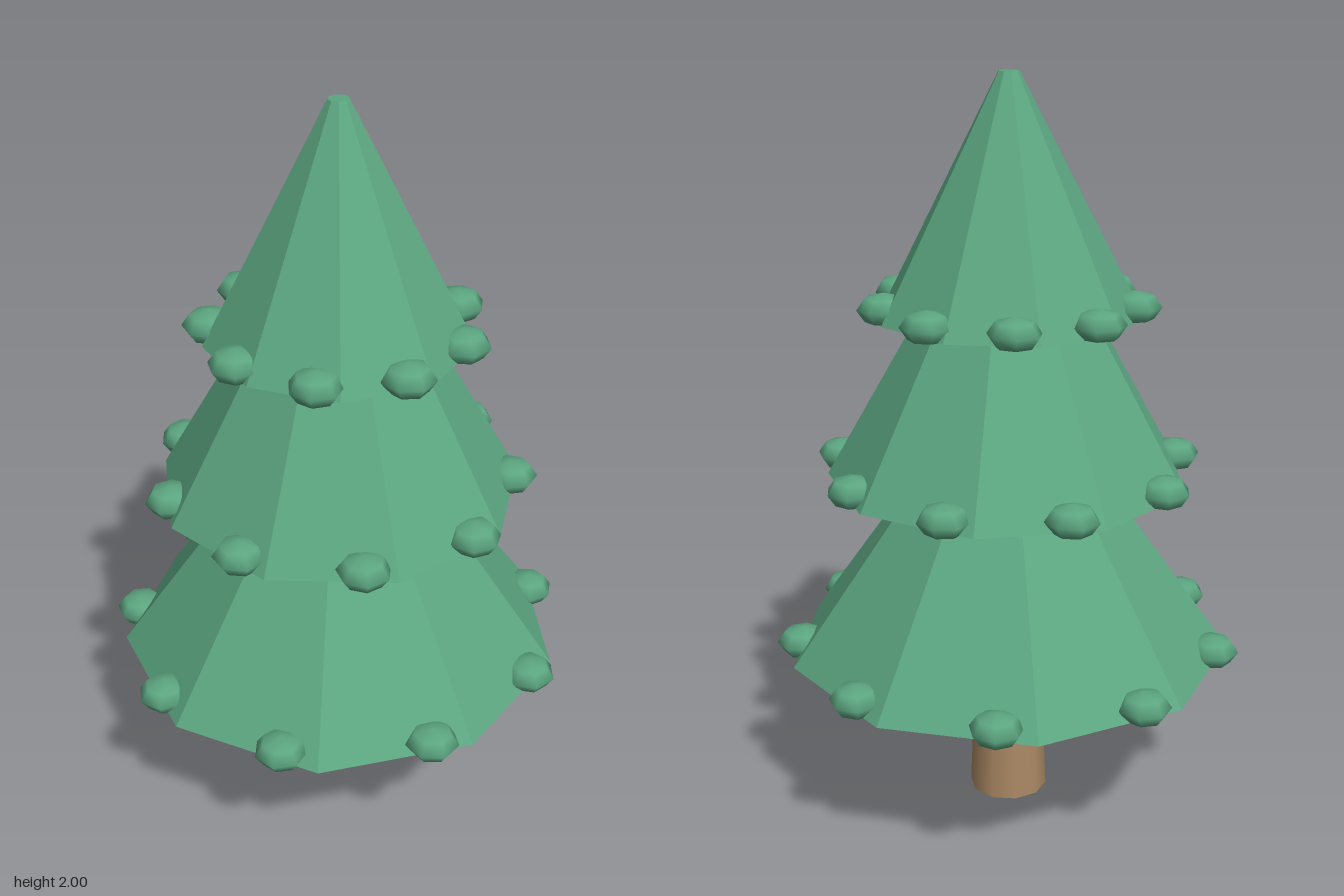
import * as THREE from 'three';

export function createModel() {
  const tree = new THREE.Group();
  tree.name = 'pineTree';

  const green = new THREE.MeshStandardMaterial({ color: 0x5ca681 });
  green.name = 'needleGreen';
  const brown = new THREE.MeshStandardMaterial({ color: 0xab8964 });
  brown.name = 'barkBrown';

  const axisX = -0.02; // the tree axis, offset so the whole is centred

  // Tapered trunk, reaching a little into the lowest tier
  const trunk = new THREE.Mesh(new THREE.CylinderGeometry(0.087, 0.108, 0.5, 10), brown);
  trunk.position.set(axisX, 0.25, 0);
  trunk.name = 'trunk';
  tree.add(trunk);

  // Squashed snow-lump shape shared by all tiers
  const puffGeo = new THREE.SphereGeometry(0.071, 7, 4);
  puffGeo.scale(1, 0.61, 1);

  // Three nine-sided tiers, each turned a little from the one below
  const tiers = [
    { name: 'lowerTier', y0: 0.445, y1: 1.15, rBottom: 0.605, rTop: 0.1, ring: 0.568 },
    { name: 'middleTier', y0: 0.94, y1: 1.6, rBottom: 0.487, rTop: 0.11, ring: 0.458 },
    { name: 'upperTier', y0: 1.38, y1: 2.0, rBottom: 0.35, rTop: 0.027, ring: 0.328 },
  ];

  tiers.forEach((t, i) => {
    const group = new THREE.Group();
    group.name = t.name;
    group.position.x = axisX;

    const coneGeo = new THREE.CylinderGeometry(t.rTop, t.rBottom, t.y1 - t.y0, 9).toNonIndexed();
    coneGeo.computeVertexNormals(); // flat facets
    const cone = new THREE.Mesh(coneGeo, green);
    cone.position.y = (t.y0 + t.y1) / 2;
    cone.rotation.y = Math.PI + 0.4 * i;
    cone.name = 'boughs';
    group.add(cone);

    // Lumps around the rim, each with a corner pointing outward
    for (let k = 0; k < 9; k++) {
      const a = 0.3 * i + (k * Math.PI * 2) / 9;
      const puff = new THREE.Mesh(puffGeo, green);
      puff.position.set(Math.cos(a) * t.ring, t.y0 + 0.03, Math.sin(a) * t.ring);
      puff.rotation.y = Math.PI - a;
      puff.name = 'branchTip';
      group.add(puff);
    }
    tree.add(group);
  });

  return tree;
}
